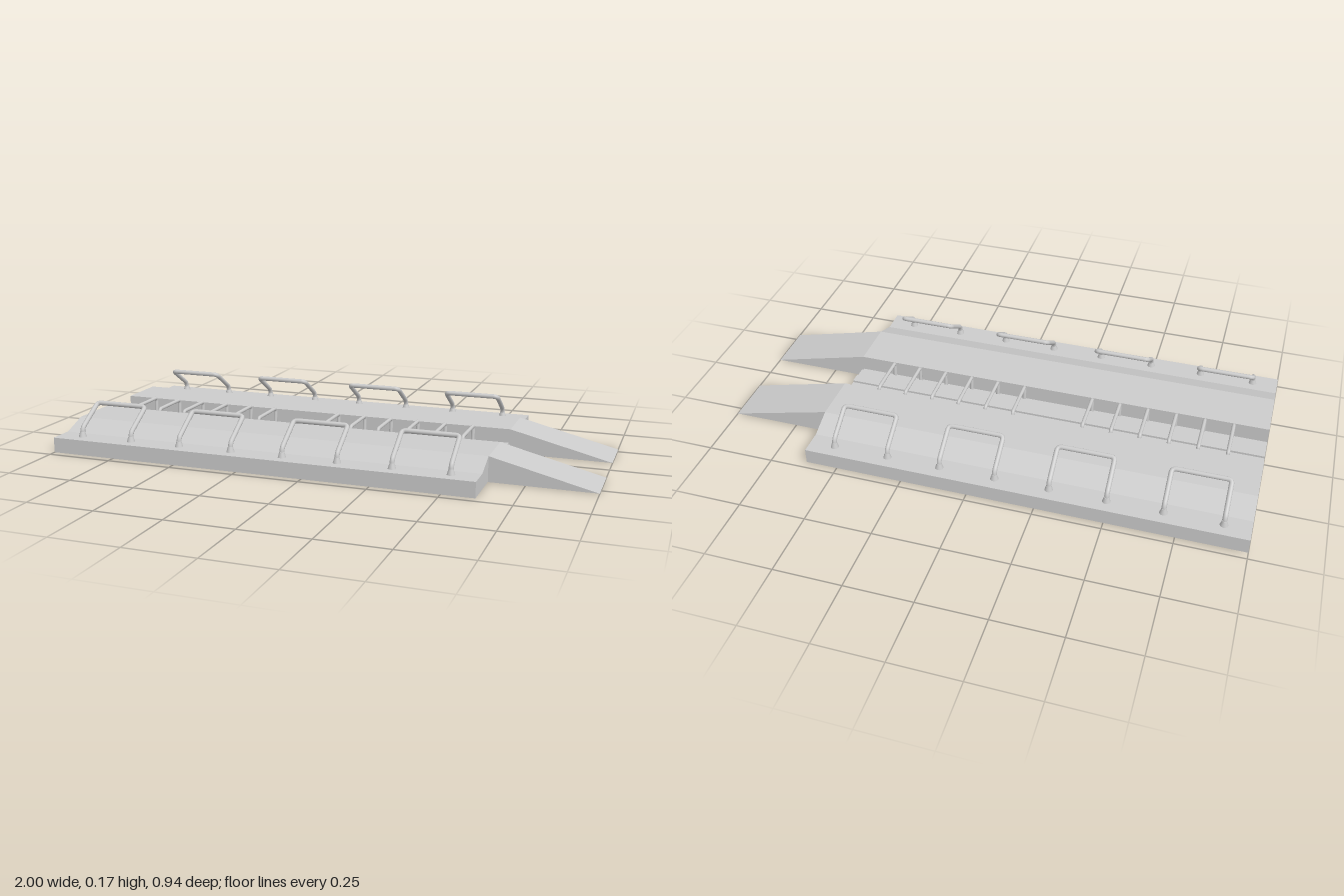
import * as THREE from 'three';

const material = new THREE.MeshStandardMaterial({ color: 0xcccccc, side: THREE.DoubleSide });
const flat = new THREE.MeshStandardMaterial({ color: 0xcccccc, side: THREE.DoubleSide, flatShading: true });

const X0 = -1, X1 = 0.62, TOP = 0.093, LIP = 0.057;

// Half cross-section as [z, y], from the outer lip to the ridge in the middle of the channel
const half = [
  [0.47, 0], [0.47, LIP], [0.375, LIP], [0.283, TOP], [0.093, TOP],
  [0.093, 0.034], [0.07, 0.034], [0.07, 0.047], [0.02, 0.047], [0.02, 0.055],
];
const profile = [...half, ...half.map(([z, y]) => [-z, y]).reverse()];

function add(group, name, geometry, mat = material) {
  const mesh = new THREE.Mesh(geometry, mat);
  mesh.name = name;
  group.add(mesh);
  return mesh;
}

// Geometry from a list of quads (or triangles), each a list of corner points
function faces(list) {
  const pos = [];
  for (const f of list) {
    for (let i = 1; i < f.length - 1; i++) pos.push(...f[0], ...f[i], ...f[i + 1]);
  }
  const g = new THREE.BufferGeometry();
  g.setAttribute('position', new THREE.Float32BufferAttribute(pos, 3));
  g.computeVertexNormals();
  return g;
}

// Round bar following straight runs with rounded corners
function bar(points, radius, bend) {
  const p = points.map((a) => new THREE.Vector3(...a));
  const path = new THREE.CurvePath();
  let from = p[0];
  for (let i = 1; i < p.length - 1; i++) {
    const a = p[i].clone().add(p[i - 1].clone().sub(p[i]).setLength(bend));
    const b = p[i].clone().add(p[i + 1].clone().sub(p[i]).setLength(bend));
    path.add(new THREE.LineCurve3(from, a));
    path.add(new THREE.QuadraticBezierCurve3(a, p[i], b));
    from = b;
  }
  path.add(new THREE.LineCurve3(from, p[p.length - 1]));
  return new THREE.TubeGeometry(path, 72, radius, 10, false);
}

export function createModel() {
  const model = new THREE.Group();
  model.name = 'rampPlate';

  // Folded deck, open underneath and at its right end
  const deck = [];
  for (let i = 0; i < profile.length - 1; i++) {
    const [za, ya] = profile[i], [zb, yb] = profile[i + 1];
    deck.push([[X0, ya, za], [X1, ya, za], [X1, yb, zb], [X0, yb, zb]]);
  }
  add(model, 'deck', faces(deck), flat);

  // End wall closing the deck at the ramps
  const wall = new THREE.ShapeGeometry(new THREE.Shape(profile.map(([z, y]) => new THREE.Vector2(-z, y))));
  wall.rotateY(Math.PI / 2).translate(X1, 0, 0);
  add(model, 'endWall', wall, flat);

  for (const s of [1, -1]) {
    // Sloping ramp with side cheeks
    const zi = 0.093 * s, zo = 0.283 * s;
    const slope = [[X1, TOP, zo], [1, 0, zo], [1, 0, zi], [X1, TOP, zi]];
    const cheeks = [zo, zi].map((z) => [[X1, 0, z], [1, 0, z], [X1, TOP, z]]);
    if (s < 0) slope.reverse();
    add(model, s > 0 ? 'frontRamp' : 'backRamp', faces([slope, ...cheeks]), flat);

    // Leaning grab handles along each lip
    for (let i = 0; i < 4; i++) {
      const handle = new THREE.Group();
      handle.name = 'handle';
      const xa = -0.905 + i * 0.407, xb = xa + 0.207;
      add(handle, 'handleBar', bar([
        [xa, LIP, 0.42 * s], [xa, 0.09, 0.418 * s], [xa, 0.163, 0.305 * s],
        [xb, 0.163, 0.305 * s], [xb, 0.09, 0.418 * s], [xb, LIP, 0.42 * s],
      ], 0.009, 0.016));
      for (const x of [xa, xb]) {
        const foot = add(handle, 'handleFoot', new THREE.CylinderGeometry(0.009, 0.015, 0.02, 12));
        foot.position.set(x, LIP + 0.01, 0.42 * s);
      }
      model.add(handle);
    }
  }

  // Two runs of staple-shaped rungs bridging the channel
  for (const start of [-0.87, -0.06]) {
    for (let i = 0; i < 6; i++) {
      const x = start + i * 0.108;
      add(model, 'rung', bar([
        [x, 0.034, 0.08], [x, 0.097, 0.085], [x, 0.097, -0.085], [x, 0.034, -0.08],
      ], 0.007, 0.014));
    }
  }
  return model;
}
